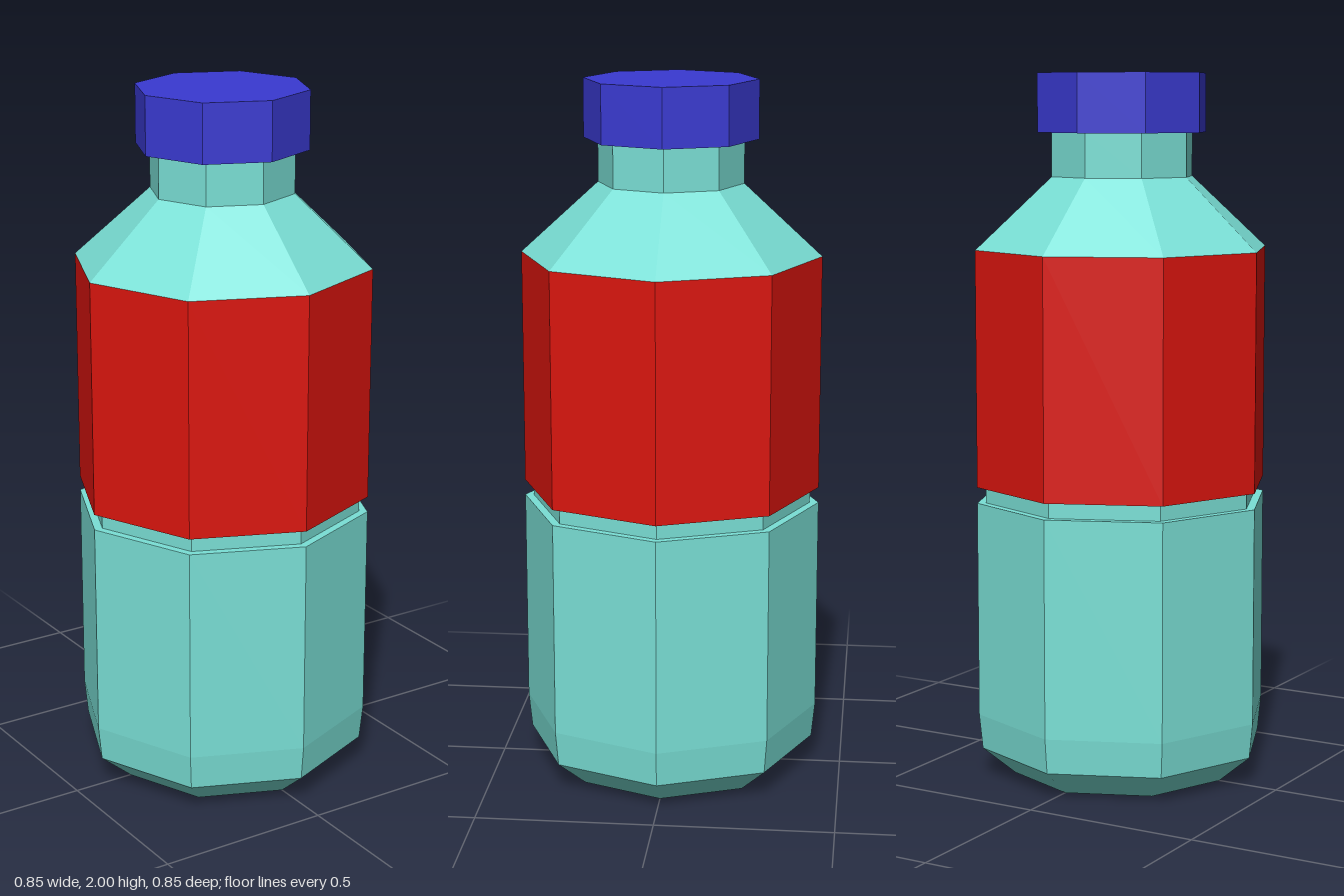
import * as THREE from 'three';

const SIDES = 8;

// Eight-sided turned part from [radius, height] pairs, listed bottom to top
function turned(name, color, profile) {
  const points = profile.map(([r, y]) => new THREE.Vector2(r, y));
  const material = new THREE.MeshStandardMaterial({ color, flatShading: true });
  const mesh = new THREE.Mesh(new THREE.LatheGeometry(points, SIDES), material);
  mesh.name = name;
  return mesh;
}

export function createModel() {
  const group = new THREE.Group();
  group.name = 'bottle';

  const teal = 0x7ae0d6, red = 0xdc150e, blue = 0x3a3ad2;

  group.add(
    // Chamfered base, lower wall, groove and the ledge beneath the label
    turned('lowerBody', teal, [
      [0, 0], [0.32, 0], [0.415, 0.08], [0.425, 0.18], [0.425, 0.795],
      [0.4, 0.795], [0.4, 0.84], [0.425, 0.84],
    ]),
    // Label band around the upper wall
    turned('label', red, [[0.425, 0.84], [0.425, 1.51]]),
    // Sloping shoulder and neck, running up into the cap
    turned('shoulderAndNeck', teal, [[0.425, 1.51], [0.205, 1.712], [0.205, 1.84]]),
    // Closed screw cap
    turned('cap', blue, [[0, 1.835], [0.245, 1.835], [0.245, 2], [0, 2]]),
  );
  return group;
}
